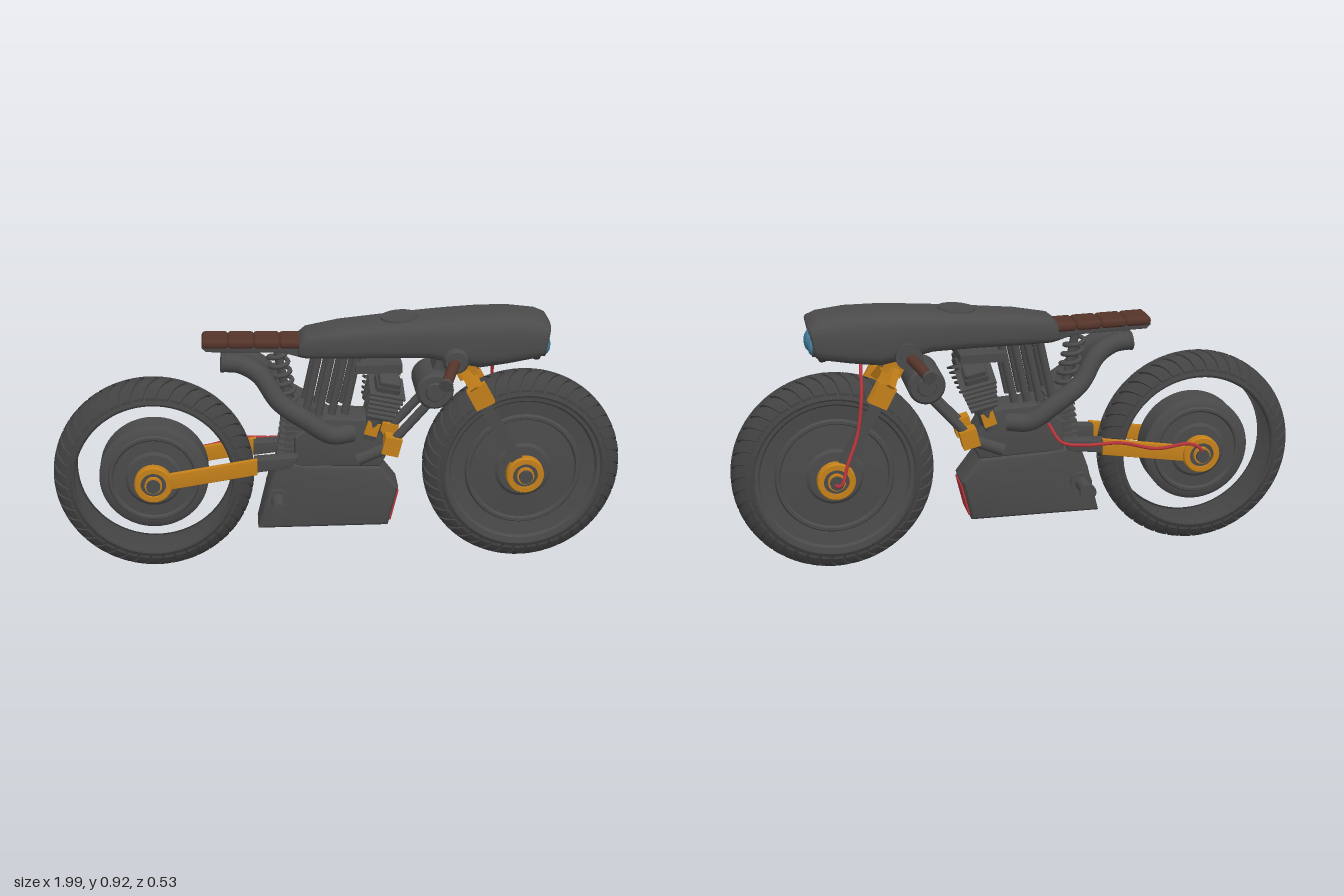
import * as THREE from 'three';
import { mergeGeometries, toCreasedNormals } from 'three/addons/utils/BufferGeometryUtils.js';
import { RoundedBoxGeometry } from 'three/addons/geometries/RoundedBoxGeometry.js';

const mat = (name, color, side = THREE.FrontSide) => {
  const m = new THREE.MeshStandardMaterial({ color, side });
  m.name = name;
  return m;
};
const V = (a) => new THREE.Vector3(...a);

export function createModel() {
  const root = new THREE.Group();
  root.name = 'motorcycle';
  const metal = mat('dark grey metal', 0x4a4a4a);
  const paint = mat('body grey', 0x4b4b4b, THREE.DoubleSide);
  const rubber = mat('tyre rubber', 0x434343, THREE.DoubleSide);
  const black = mat('black panel', 0x303030);
  const orange = mat('orange metal', 0xc4801a);
  const brown = mat('brown leather', 0x54342a);
  const red = mat('red', 0xb3343a);
  const blue = mat('blue glass', 0x417a98);

  const add = (name, geo, m, p = [0, 0, 0], rz = 0, parent = root) => {
    const mesh = new THREE.Mesh(geo, m);
    mesh.name = name;
    mesh.position.set(...p);
    mesh.rotation.z = rz;
    parent.add(mesh);
    return mesh;
  };
  const box = (name, s, m, p, rz = 0) => add(name, new THREE.BoxGeometry(...s), m, p, rz);
  const cylZ = (r, len, seg = 32) => new THREE.CylinderGeometry(r, r, len, seg).rotateX(Math.PI / 2);
  const latheZ = (pts, seg = 64) => toCreasedNormals(
    new THREE.LatheGeometry(pts.map((p) => new THREE.Vector2(...p)), seg).rotateX(Math.PI / 2), 0.6);
  const tube = (name, pts, r, m, n = 48) => add(name,
    new THREE.TubeGeometry(new THREE.CatmullRomCurve3(pts.map(V)), n, r, 14), m);
  // Straight member from a to b; round when only one size is given
  const bar = (name, a, b, m, w, d) => {
    const A = V(a), B = V(b), len = A.distanceTo(B);
    const geo = d ? new THREE.BoxGeometry(w, len, d) : new THREE.CylinderGeometry(w, w, len, 18);
    const mesh = add(name, geo, m, A.clone().lerp(B, 0.5).toArray());
    mesh.quaternion.setFromUnitVectors(V([0, 1, 0]), B.sub(A).normalize());
    return mesh;
  };
  // Side outline extruded across z, centred on zc
  const plate = (name, pts, depth, zc, m, bevel = 0.004) => {
    const geo = new THREE.ExtrudeGeometry(new THREE.Shape(pts.map((p) => new THREE.Vector2(...p))), {
      depth: depth - 2 * bevel, bevelSize: bevel, bevelThickness: bevel, bevelOffset: -bevel, bevelSegments: 3, curveSegments: 8 });
    return add(name, toCreasedNormals(geo.translate(0, 0, zc - depth / 2 + bevel), 0.5), m);
  };

  // Tyres: rounded band with raised chevron blocks
  const radius = (z) => 0.342 - 0.06 * Math.pow(Math.abs(z) / 0.077, 3);
  const band = [[0.272, -0.066], [0.276, -0.074]];
  for (let i = -10; i <= 10; i++) band.push([radius(i * 0.0077), i * 0.0077]);
  band.push([0.276, 0.074], [0.272, 0.066]);
  const chevron = new THREE.BoxGeometry(0.112, 0.009, 0.142, 3, 1, 16);
  const cp = chevron.attributes.position;
  for (let i = 0; i < cp.count; i++) {
    const z = cp.getZ(i), a = cp.getX(i) + Math.abs(z) * 2, r = radius(z) + cp.getY(i) + 0.0035;
    cp.setXYZ(i, r * Math.sin(-a), r * Math.cos(a), z);
  }
  chevron.computeVertexNormals();
  const blocks = [];
  for (let i = 0; i < 44; i++) blocks.push(chevron.clone().rotateZ((i / 44) * Math.PI * 2));
  const treadGeo = mergeGeometries(blocks), bandGeo = latheZ(band, 80);

  // Wheel discs, profiled from the centre outwards
  const disc = (half) => latheZ([...half.map(([r, z]) => [r, -z]), ...half.slice().reverse()]);
  const frontDisc = [[0, 0.08], [0.035, 0.08], [0.04, 0.07], [0.09, 0.068], [0.1, 0.06], [0.185, 0.054], [0.19, 0.063],
    [0.2, 0.063], [0.206, 0.054], [0.255, 0.06], [0.262, 0.07], [0.28, 0.072]];
  const rearDisc = [[0, 0.08], [0.035, 0.08], [0.04, 0.07], [0.09, 0.068], [0.1, 0.06], [0.14, 0.058], [0.146, 0.066],
    [0.155, 0.066], [0.16, 0.058], [0.178, 0.055], [0.19, 0.045]];
  for (const [name, x, half] of [['front', 0.645, frontDisc], ['rear', -0.65, rearDisc]]) {
    const w = new THREE.Group();
    w.name = name + 'Wheel';
    w.position.set(x, 0.355, 0);
    root.add(w);
    add('tyre', bandGeo, rubber, [0, 0, 0], 0, w);
    add('tread', treadGeo, rubber, [0, 0, 0], 0, w);
    add('wheelDisc', disc(half), metal, [0, 0, 0], 0, w);
    for (const s of [1, -1]) {
      add('axleRing', latheZ([[0.044, -0.018], [0.062, -0.018], [0.066, -0.013], [0.066, 0.013], [0.062, 0.018], [0.044, 0.018], [0.044, -0.018]], 40),
        orange, [0, 0, s * 0.104], 0, w);
      add('axleHub', cylZ(0.045, 0.026), metal, [0, 0, s * 0.1], 0, w);
      add('axleCollar', cylZ(0.03, 0.014), orange, [0, 0, s * 0.12], 0, w);
      add('axleEnd', cylZ(0.024, 0.014), metal, [0, 0, s * 0.13], 0, w);
    }
  }

  // Tank and nose shell lofted from rounded sections: x, bottom, top, half width, slant
  const sections = [[-0.145, 0.81, 0.83, 0.045, 0], [-0.14, 0.785, 0.855, 0.062, 0.1], [-0.115, 0.78, 0.872, 0.073, 0],
    [0, 0.78, 0.892, 0.088, 0], [0.15, 0.782, 0.905, 0.1, 0], [0.3, 0.78, 0.917, 0.11, 0], [0.38, 0.762, 0.923, 0.114, 0],
    [0.48, 0.742, 0.929, 0.116, 0], [0.58, 0.755, 0.929, 0.115, 0.05], [0.67, 0.77, 0.917, 0.11, 0.15],
    [0.702, 0.778, 0.903, 0.105, 0.2], [0.708, 0.785, 0.896, 0.098, 0.2], [0.69, 0.788, 0.893, 0.094, 0.2]];
  const N = 48, pos = [], idx = [];
  const soft = (c) => Math.sign(c) * Math.pow(Math.abs(c), 0.5);
  for (const [x, y0, y1, w, k] of sections) {
    for (let j = 0; j < N; j++) {
      const a = (j / N) * Math.PI * 2, dy = soft(Math.sin(a)) * (y1 - y0) / 2;
      const taper = 1 - 0.08 * Math.max(0, Math.sin(a));
      pos.push(x + k * dy, (y0 + y1) / 2 + dy, soft(Math.cos(a)) * w * taper);
    }
  }
  for (let i = 0; i < sections.length - 1; i++) {
    for (let j = 0; j < N; j++) {
      const a = i * N + j, b = i * N + (j + 1) % N;
      idx.push(a, a + N, b, b, a + N, b + N);
    }
  }
  const last = (sections.length - 1) * N;
  for (let j = 1; j < N - 1; j++) idx.push(0, j + 1, j, last, last + j, last + j + 1);
  const shell = new THREE.BufferGeometry();
  shell.setAttribute('position', new THREE.Float32BufferAttribute(pos, 3));
  shell.setIndex(idx);
  add('tank', toCreasedNormals(shell, 0.7), paint);
  add('fuelCap', new THREE.CylinderGeometry(0.063, 0.066, 0.014, 40), metal, [0.206, 0.908, 0], 0.08);

  // Headlamp cluster
  add('lampPanel', new RoundedBoxGeometry(0.03, 0.12, 0.165, 3, 0.012), black, [0.682, 0.828, 0], -0.2);
  for (const [y, z, r] of [[0.815, 0.04, 0.037], [0.815, -0.046, 0.027], [0.865, -0.014, 0.018]]) {
    add('lampRim', new THREE.CylinderGeometry(r + 0.006, r + 0.006, 0.03, 32).rotateZ(Math.PI / 2), metal, [0.69, y, z]);
    add('lamp', new THREE.SphereGeometry(r, 28, 18).scale(0.55, 1, 1), blue, [0.704, y, z]);
  }

  // Seat
  plate('seatPan', [[-0.47, 0.825], [-0.455, 0.812], [-0.2, 0.805], [-0.13, 0.785], [-0.12, 0.835], [-0.47, 0.845]], 0.1, 0, metal);
  for (let i = 0; i < 4; i++) {
    add('seatPad', new RoundedBoxGeometry(0.092, 0.032, 0.115, 4, 0.014), brown, [-0.425 + i * 0.088, 0.84 - i * 0.002, 0], -0.02);
  }

  // Engine core, belly pan and rear spring
  plate('crankcase', [[-0.16, 0.39], [0.14, 0.38], [0.17, 0.44], [0.1, 0.56], [-0.06, 0.57], [-0.16, 0.5]], 0.14, 0, metal, 0.012);
  plate('bellyPan', [[-0.29, 0.155], [0.17, 0.155], [0.205, 0.3], [0.14, 0.385], [-0.1, 0.395], [-0.215, 0.41], [-0.225, 0.39], [-0.25, 0.32]], 0.15, 0, metal, 0.02);
  box('bellyGrille', [0.008, 0.115, 0.115], red, [0.189, 0.228, 0], -0.237);
  for (let i = 0; i < 9; i++) box('rearFin', [0.1, 0.009, 0.1], metal, [-0.17 + i * 0.003, 0.42 + i * 0.022, 0], -0.1);
  box('rearBarrel', [0.07, 0.21, 0.075], metal, [-0.155, 0.5, 0], -0.1);
  const coil = [];
  for (let i = 0; i <= 72; i++) {
    const a = (i / 12) * Math.PI * 2, t = i / 72;
    coil.push([-0.215 + t * 0.04 + 0.032 * Math.cos(a), 0.79 - t * 0.2, 0.032 * Math.sin(a)]);
  }
  tube('shockSpring', coil, 0.008, metal, 200);
  bar('shockRod', [-0.215, 0.81, 0], [-0.17, 0.56, 0], metal, 0.015);

  // Steering head
  bar('steeringStem', [0.36, 0.8, 0], [0.46, 0.72, 0], metal, 0.05, 0.13);
  add('airCanister', latheZ([[0, -0.1], [0.03, -0.1], [0.034, -0.092], [0.056, -0.092], [0.065, -0.082], [0.065, 0.082],
    [0.056, 0.092], [0.034, 0.092], [0.03, 0.1], [0, 0.1]], 40), metal, [0.325, 0.665, 0]);
  bar('canisterMount', [0.325, 0.67, 0], [0.37, 0.79, 0], metal, 0.05, 0.09);
  box('engineMount', [0.16, 0.03, 0.2], metal, [0.13, 0.755, 0], 0);

  for (const s of [1, -1]) {
    // Finned cylinder heads leaning outwards
    const head = new THREE.Group();
    head.name = 'cylinderHead';
    head.position.set(0.145, 0.645, s * 0.075);
    head.rotation.set(s * 0.3, 0, -0.25);
    root.add(head);
    add('barrel', new RoundedBoxGeometry(0.085, 0.15, 0.085, 2, 0.01), metal, [0, 0, 0], 0, head);
    for (let i = 0; i < 6; i++) add('fin', new THREE.BoxGeometry(0.125 - i * 0.006, 0.008, 0.12), metal, [0, 0.045 - i * 0.019, 0], 0, head);
    add('headCover', new RoundedBoxGeometry(0.075, 0.035, 0.08, 2, 0.008), metal, [0, 0.075, 0], 0, head);
    bar('cylinderFoot', [0.125, 0.58, s * 0.06], [0.1, 0.49, s * 0.05], metal, 0.03);
    box('upperClamp', [0.045, 0.05, 0.05], orange, [0.11, 0.53, s * 0.06], -0.3);
    box('lowerClamp', [0.06, 0.065, 0.055], orange, [0.178, 0.465, s * 0.068], -0.25);

    // Frame tubes
    bar('downTube', [0.33, 0.64, s * 0.06], [0.17, 0.46, s * 0.065], metal, 0.016);
    bar('cradleTube', [0.18, 0.46, s * 0.065], [0.06, 0.41, s * 0.065], metal, 0.022);
    for (let i = 0; i < 4; i++) {
      const x = -0.075 + i * 0.045;
      bar('frameStrut', [x, 0.79, s * 0.05], [x - 0.045, 0.58, s * 0.055], metal, 0.014);
    }

    // Exhaust
    tube('exhaust', [[-0.4, 0.77, s * 0.035], [-0.34, 0.765, s * 0.042], [-0.275, 0.73, s * 0.06], [-0.21, 0.64, s * 0.088],
      [-0.12, 0.575, s * 0.1], [-0.03, 0.515, s * 0.09], [0.04, 0.51, s * 0.06]], 0.033, metal);
    const tip = add('exhaustTip', new THREE.TorusGeometry(0.028, 0.008, 10, 28).rotateY(Math.PI / 2), metal, [-0.4, 0.77, s * 0.035]);
    tip.rotation.z = -0.1;
    add('exhaustEnd', new THREE.CircleGeometry(0.03, 24).rotateY(-Math.PI / 2), black, [-0.401, 0.77, s * 0.035]);

    // Swingarm
    plate('swingarm', [[-0.6, 0.33], [-0.29, 0.378], [-0.29, 0.437], [-0.6, 0.388]], 0.018, s * 0.1, orange);
    plate('swingarmPivot', [[-0.3, 0.385], [-0.17, 0.4], [-0.15, 0.44], [-0.3, 0.432]], 0.05, s * 0.08, metal);

    // Foot pegs
    add('footPeg', cylZ(0.023, 0.11), metal, [-0.22, 0.272, s * 0.125]);
    add('footPegCap', cylZ(0.029, 0.014), metal, [-0.22, 0.272, s * 0.179]);
    add('footPegBase', cylZ(0.038, 0.02), metal, [-0.22, 0.272, s * 0.078]);

    // Fork
    bar('forkTop', [0.405, 0.79, s * 0.055], [0.447, 0.71, s * 0.06], orange, 0.07, 0.028);
    bar('forkBend', [0.442, 0.72, s * 0.058], [0.468, 0.672, s * 0.1], orange, 0.07, 0.028);
    bar('forkClamp', [0.462, 0.685, s * 0.1], [0.5, 0.615, s * 0.102], orange, 0.07, 0.03);
    bar('forkLeg', [0.49, 0.63, s * 0.1], [0.63, 0.385, s * 0.1], metal, 0.042, 0.015);

    // Handlebars
    add('barMount', latheZ([[0, -0.02], [0.045, -0.02], [0.045, 0.006], [0.036, 0.02], [0, 0.02]], 32), metal, [0.39, 0.785, s * 0.113]);
    add('barMountFace', cylZ(0.026, 0.012), metal, [0.39, 0.785, s * 0.132]);
    bar('grip', [0.385, 0.782, s * 0.125], [0.342, 0.748, s * 0.245], brown, 0.019);
    bar('gripEnd', [0.343, 0.749, s * 0.242], [0.339, 0.746, s * 0.255], metal, 0.023);
  }

  // Brake lines
  tube('frontBrakeLine', [[0.53, 0.785, -0.005], [0.545, 0.74, -0.06], [0.55, 0.66, -0.105], [0.57, 0.52, -0.122],
    [0.61, 0.42, -0.145], [0.63, 0.36, -0.158], [0.645, 0.35, -0.15], [0.65, 0.352, -0.125]], 0.006, red, 64);
  tube('rearBrakeLine', [[-0.1, 0.5, -0.08], [-0.14, 0.44, -0.115], [-0.22, 0.425, -0.122], [-0.35, 0.425, -0.125],
    [-0.48, 0.395, -0.127], [-0.6, 0.405, -0.13], [-0.64, 0.385, -0.133], [-0.65, 0.36, -0.13]], 0.006, red, 64);
  return root;
}
